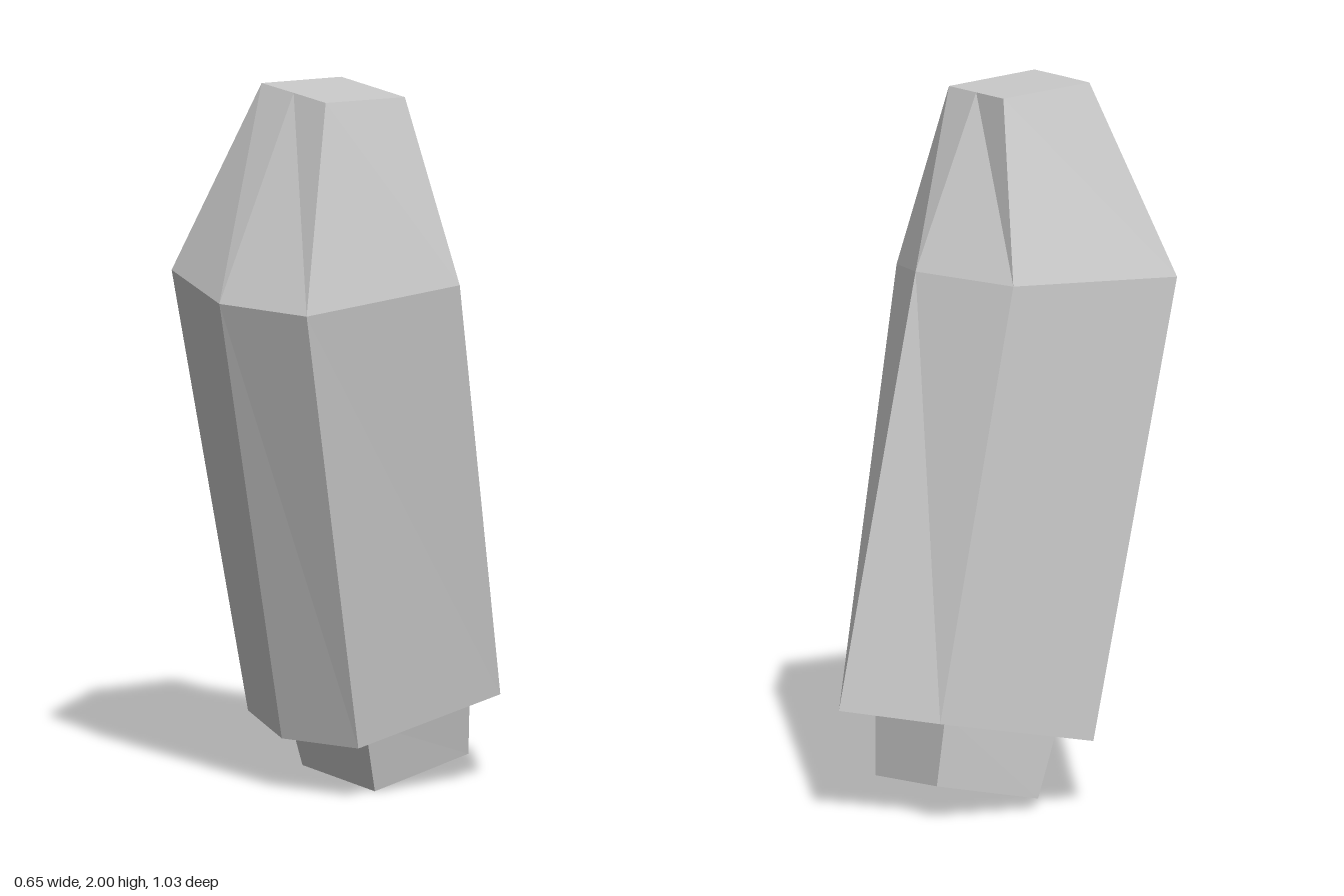
import * as THREE from 'three';

const material = new THREE.MeshStandardMaterial({ color: 0xcccccc, flatShading: true });

// Closed faceted solid lofted through rings listed bottom to top,
// each ring running counter-clockwise when seen from above.
function loft(name, rings) {
  const pos = [];
  const tri = (a, b, c) => pos.push(...a, ...b, ...c);
  const n = rings[0].length;
  for (let r = 0; r < rings.length - 1; r++) {
    const lo = rings[r], hi = rings[r + 1];
    for (let i = 0; i < n; i++) {
      const j = (i + 1) % n;
      tri(lo[i], lo[j], hi[i]);
      tri(lo[j], hi[j], hi[i]);
    }
  }
  const bottom = rings[0], top = rings[rings.length - 1];
  for (let i = 1; i < n - 1; i++) {
    tri(bottom[0], bottom[i + 1], bottom[i]);
    tri(top[0], top[i], top[i + 1]);
  }
  const geo = new THREE.BufferGeometry();
  geo.setAttribute('position', new THREE.Float32BufferAttribute(pos, 3));
  geo.computeVertexNormals();
  const mesh = new THREE.Mesh(geo, material);
  mesh.name = name;
  return mesh;
}

export function createModel() {
  const group = new THREE.Group();
  group.name = 'crystal';

  // Leaning six-sided shaft with a tapered, flat-topped tip
  // (ring order: front, +x front, +x back, back, -x back, -x front)
  group.add(loft('shaft', [
    [[-0.08, 0.15, 0.225], [0.175, 0.15, 0.15], [0.172, 0.25, -0.343],
      [-0.08, 0.3, -0.515], [-0.328, 0.288, -0.335], [-0.325, 0.187, 0.16]],
    [[0.02, 1.42, 0.515], [0.325, 1.42, 0.44], [0.317, 1.45, -0.095],
      [0.01, 1.497, -0.215], [-0.295, 1.495, -0.08], [-0.287, 1.465, 0.452]],
    [[0.045, 1.993, 0.277], [0.19, 1.985, 0.274], [0.18, 1.97, -0.007],
      [0.035, 1.978, -0.005], [-0.11, 1.986, -0.003], [-0.1, 2, 0.28]],
  ]));

  // Short square stub, narrowing downwards, set into the underside
  group.add(loft('baseStub', [
    [[-0.26, 0.027, 0.02], [0.07, 0, 0.015], [0.065, 0.07, -0.312], [-0.262, 0.097, -0.307]],
    [[-0.26, 0.23, 0.085], [0.112, 0.205, 0.08], [0.107, 0.272, -0.286], [-0.265, 0.297, -0.281]],
  ]));

  return group;
}
